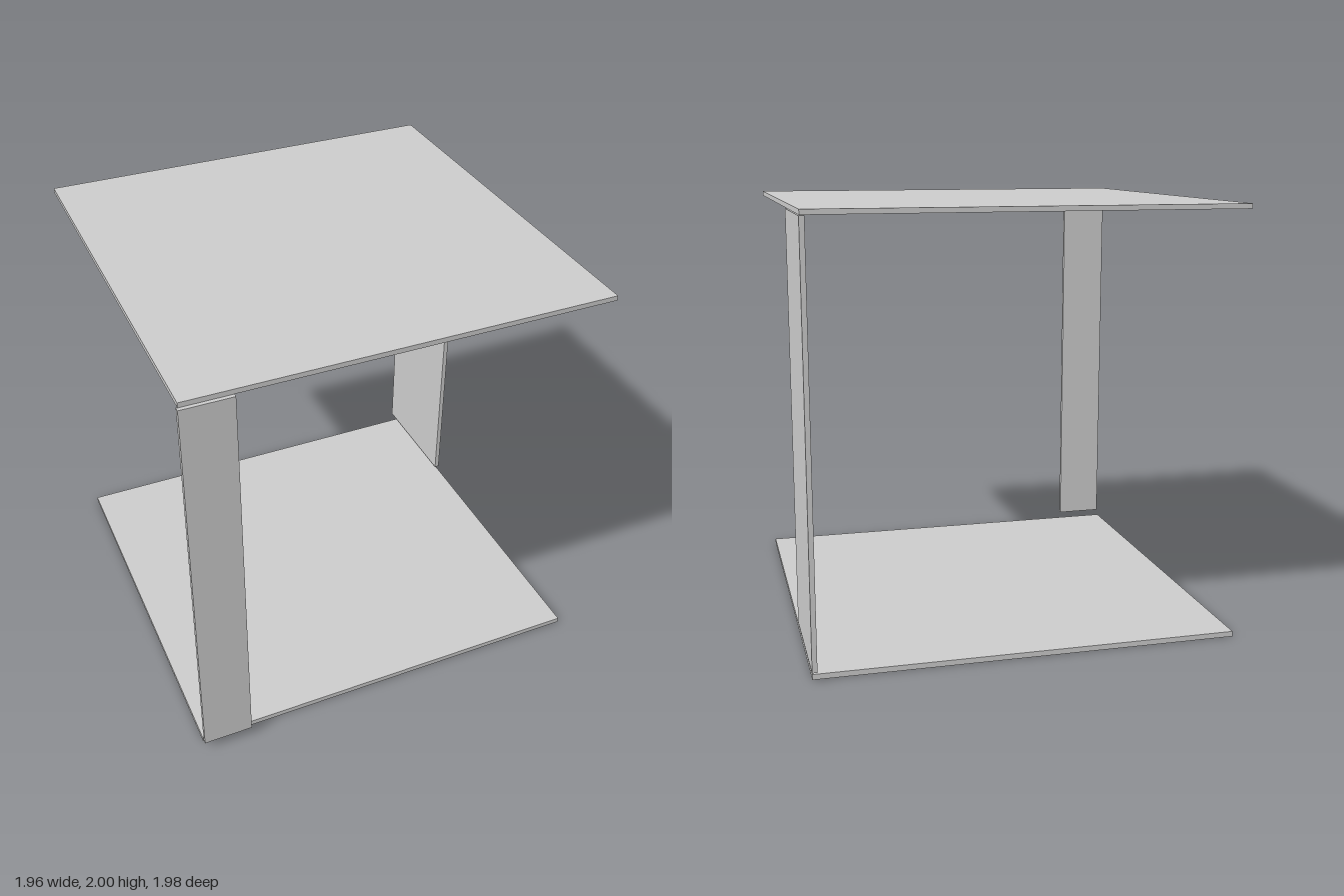
import * as THREE from 'three';

export function createModel() {
  const group = new THREE.Group();
  const material = new THREE.MeshStandardMaterial({ color: 0xcccccc });

  // Flat board spanning the given x, y and z ranges
  function board(name, [x0, x1], [y0, y1], [z0, z1]) {
    const mesh = new THREE.Mesh(new THREE.BoxGeometry(x1 - x0, y1 - y0, z1 - z0), material);
    mesh.name = name;
    mesh.position.set((x0 + x1) / 2, (y0 + y1) / 2, (z0 + z1) / 2);
    group.add(mesh);
  }

  // Horizontal boards
  board('topBoard', [-0.98, 0.975], [1.977, 2], [-0.968, 0.975]);
  board('bottomBoard', [-0.98, 0.975], [0, 0.025], [-0.953, 0.938]);

  // Upright panels: narrow one at the front, wide one on the left side
  const upright = [0.047, 1.975];
  board('frontPanel', [-0.985, -0.752], upright, [0.968, 0.99]);
  board('sidePanel', [0.956, 0.979], upright, [-0.99, -0.403]);

  return group;
}
